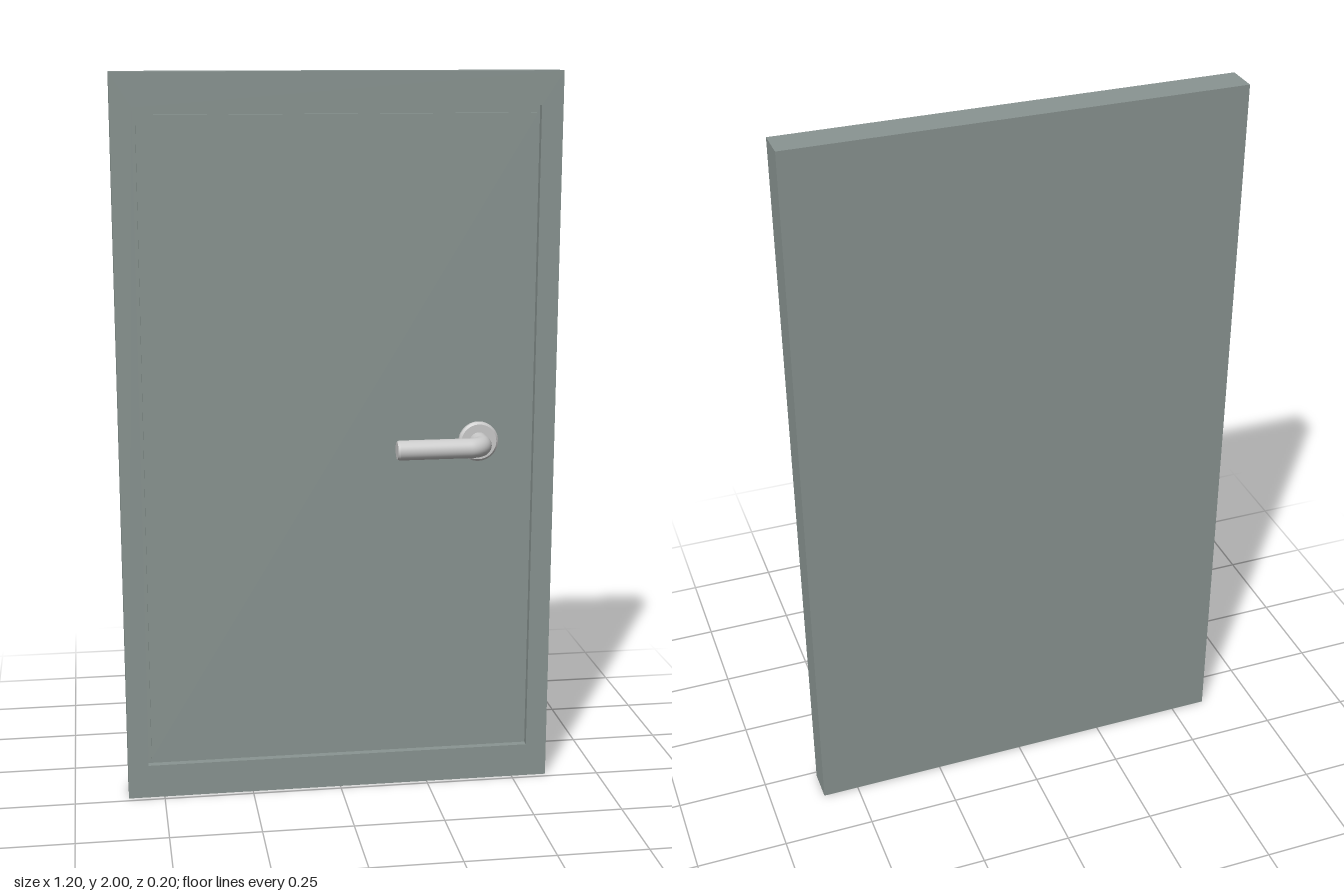
import * as THREE from 'three';

const doorMaterial = new THREE.MeshStandardMaterial({ color: 0x8a9592 });
const metal = new THREE.MeshStandardMaterial({ color: 0xcccccc });

const BACK = -0.103, FRONT = -0.015, GROOVE = 0.02;

function addMesh(parent, name, geometry, material) {
  const mesh = new THREE.Mesh(geometry, material);
  mesh.name = name;
  parent.add(mesh);
  return mesh;
}

// Rectangle outline given by its left, right, bottom and top edges
function rect(Type, l, r, b, t) {
  return new Type([[l, b], [r, b], [r, t], [l, t]].map(([x, y]) => new THREE.Vector2(x, y)));
}

// Straight run, quarter bend and straight run of the lever's centre line
function leverPath(x, zBase, z, xEnd, bend) {
  const path = new THREE.CurvePath();
  const v = (px, pz) => new THREE.Vector3(px, 1, pz);
  const k = bend * 0.448;
  path.add(new THREE.LineCurve3(v(x, zBase), v(x, z - bend)));
  path.add(new THREE.CubicBezierCurve3(v(x, z - bend), v(x, z - k), v(x - k, z), v(x - bend, z)));
  path.add(new THREE.LineCurve3(v(x - bend, z), v(xEnd, z)));
  return path;
}

export function createModel() {
  const model = new THREE.Group();
  model.name = 'door';

  // Door leaf: solid slab with a front frame and a flush panel, leaving a narrow groove
  const leaf = new THREE.Group();
  leaf.name = 'doorLeaf';
  model.add(leaf);
  const depth = FRONT - GROOVE - BACK;
  addMesh(leaf, 'slab', new THREE.BoxGeometry(1.2, 2, depth), doorMaterial)
    .position.set(0, 1, BACK + depth / 2);

  const frame = rect(THREE.Shape, -0.6, 0.6, 0, 2);
  frame.holes.push(rect(THREE.Path, -0.543, 0.541, 0.095, 1.91));
  const panel = rect(THREE.Shape, -0.534, 0.532, 0.115, 1.89);
  for (const [name, shape] of [['frame', frame], ['panel', panel]]) {
    const geometry = new THREE.ExtrudeGeometry(shape, { depth: GROOVE, bevelEnabled: false });
    addMesh(leaf, name, geometry, doorMaterial).position.z = FRONT - GROOVE;
  }

  // Handle: round rosette with a softened rim, then the bent lever
  const handle = new THREE.Group();
  handle.name = 'handle';
  model.add(handle);
  const cx = 0.383, radius = 0.027, zLever = 0.07, xEnd = 0.148;

  const profile = [[0.055, 0], [0.055, 0.009], [0.055, 0.009], [0.049, 0.014], [0.049, 0.014], [0, 0.014]]
    .map(([x, y]) => new THREE.Vector2(x, y));
  const rosette = addMesh(handle, 'rosette', new THREE.LatheGeometry(profile, 48), metal);
  rosette.rotation.x = Math.PI / 2;
  rosette.position.set(cx, 1, FRONT);

  const path = leverPath(cx, FRONT, zLever, xEnd, 0.038);
  addMesh(handle, 'lever', new THREE.TubeGeometry(path, 64, radius, 32), metal);

  // Chamfered end of the lever
  const endProfile = [[radius, 0], [radius - 0.003, 0.006], [radius - 0.003, 0.006], [0, 0.006]]
    .map(([x, y]) => new THREE.Vector2(x, y));
  const end = addMesh(handle, 'leverEnd', new THREE.LatheGeometry(endProfile, 32), metal);
  end.rotation.z = Math.PI / 2;
  end.position.set(xEnd, 1, zLever);

  return model;
}
